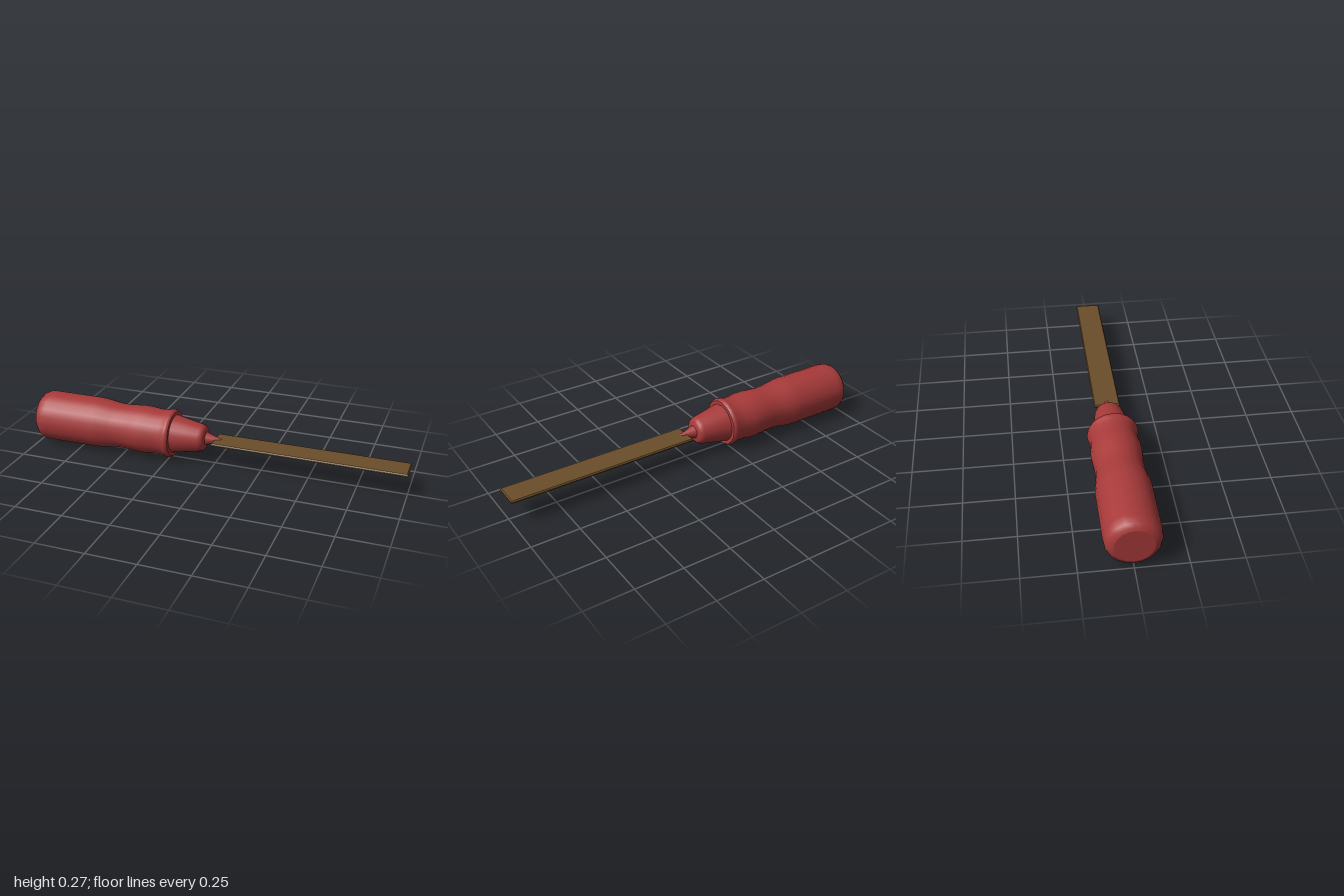
import * as THREE from 'three';

const AXIS_Y = 0.136;

export function createModel() {
  const model = new THREE.Group();
  const red = new THREE.MeshStandardMaterial({ color: 0xa83a3a });
  const brown = new THREE.MeshStandardMaterial({ color: 0x6b4e2a });

  // Turned parts: each profile lists [x along the tool, radius]
  const handle = new THREE.Group();
  handle.name = 'handle';
  handle.rotation.z = -Math.PI / 2;
  handle.position.y = AXIS_Y;
  model.add(handle);

  function turned(name, profile) {
    const points = profile.map(([x, r]) => new THREE.Vector2(r, x));
    const mesh = new THREE.Mesh(new THREE.LatheGeometry(points, 20), red);
    mesh.name = name;
    handle.add(mesh);
  }

  turned('endCap', [[-1, 0], [-1, 0.092]]);
  turned('grip', [
    [-1, 0.092], [-0.994, 0.108], [-0.98, 0.122], [-0.962, 0.131], [-0.935, 0.134],
    [-0.66, 0.134], [-0.62, 0.131], [-0.57, 0.123], [-0.53, 0.119], [-0.49, 0.119],
    [-0.44, 0.123], [-0.4, 0.126], [-0.36, 0.125], [-0.32, 0.12], [-0.275, 0.12],
    [-0.25, 0.127], [-0.24, 0.129], [-0.23, 0.127], [-0.223, 0.12],
  ]);
  turned('collarFace', [[-0.223, 0.12], [-0.223, 0.101]]);
  turned('nose', [
    [-0.223, 0.101], [-0.15, 0.087], [-0.077, 0.073], [-0.06, 0.066],
    [-0.051, 0.054], [-0.048, 0.034],
  ]);
  turned('ferrule', [[-0.048, 0.034], [0.045, 0.004]]);
  turned('ferruleEnd', [[0.045, 0.004], [0.045, 0]]);

  // Flat blade with a chamfer around its upper face
  const bottom = 0.13, middle = 0.136, top = 0.142;
  const geometry = new THREE.BoxGeometry(1.004, top - bottom, 0.134, 1, 2, 1);
  const pos = geometry.attributes.position;
  for (let i = 0; i < pos.count; i++) {
    if (pos.getY(i) > 0.001) {
      pos.setX(i, pos.getX(i) - Math.sign(pos.getX(i)) * 0.005);
      pos.setZ(i, pos.getZ(i) - Math.sign(pos.getZ(i)) * 0.005);
    }
  }
  const bladeGeometry = geometry.toNonIndexed();
  bladeGeometry.computeVertexNormals();
  const blade = new THREE.Mesh(bladeGeometry, brown);
  blade.name = 'blade';
  blade.position.set(0.498, middle, 0);
  model.add(blade);

  return model;
}
